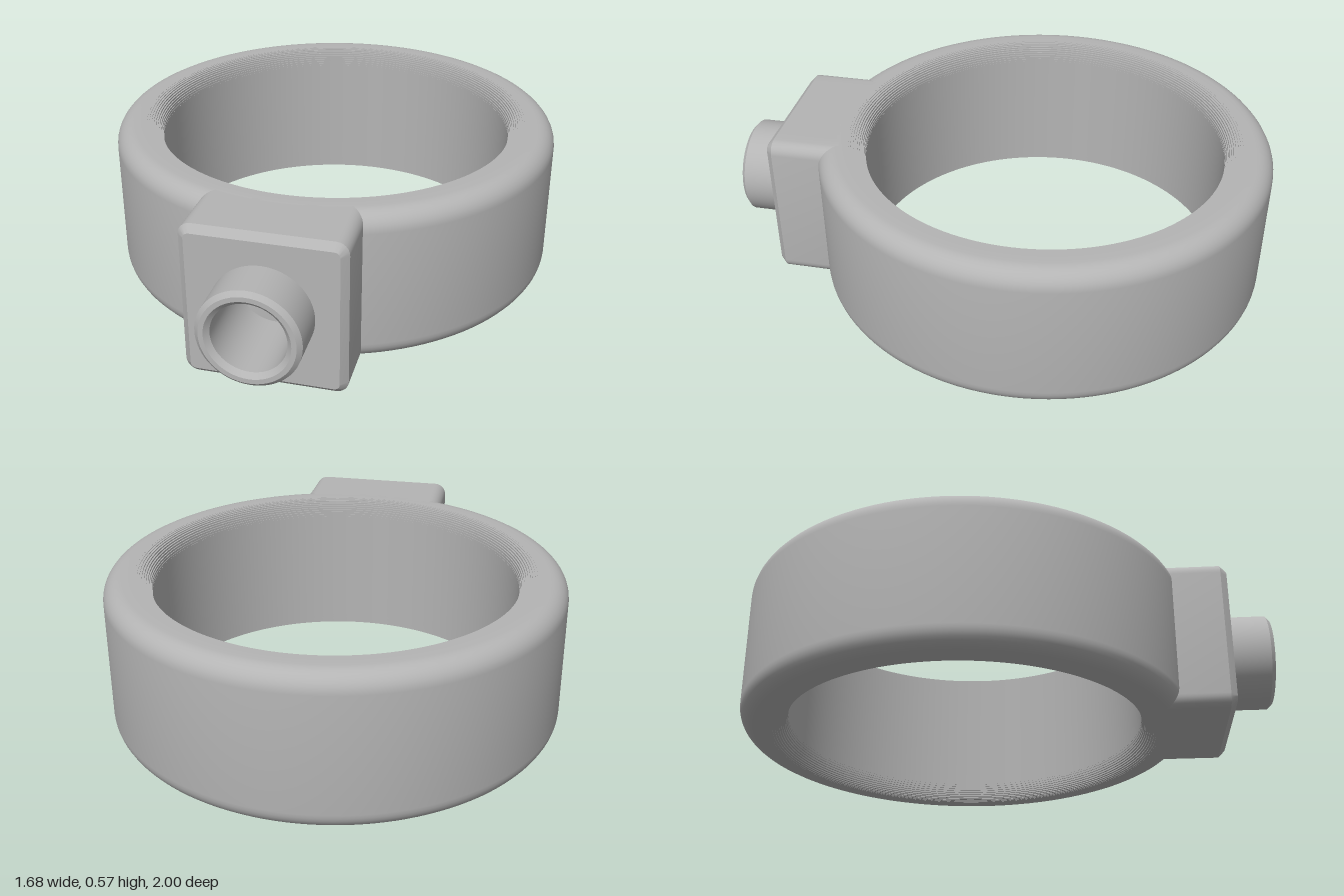
import * as THREE from 'three';
import { toCreasedNormals } from 'three/addons/utils/BufferGeometryUtils.js';

const H = 0.575;          // overall height
const RING_Z = -0.16;     // ring centre
const R_OUT = 0.84, R_IN = 0.665, FILLET = 0.07;

// Ring: smooth outer fillets, finely stepped inner fillets
function ringGeometry() {
  const top = [];
  for (let i = 0; i <= 8; i++) {
    const a = (i / 8) * Math.PI / 2;
    top.push([R_OUT - FILLET + FILLET * Math.cos(a), H - FILLET + FILLET * Math.sin(a)]);
  }
  const steps = 12;
  const at = (i) => {
    const a = Math.PI / 2 * (1 + i / steps);
    return [R_IN + FILLET + FILLET * Math.cos(a), H - FILLET + FILLET * Math.sin(a)];
  };
  top.push(at(0));
  for (let i = 0; i < steps; i++) {
    top.push([at(i + 1)[0], at(i)[1]], at(i + 1));
  }
  const bottom = top.map(([r, y]) => [r, H - y]).reverse();
  const profile = [...top, ...bottom, top[0]].map(([r, y]) => new THREE.Vector2(r, y));
  return toCreasedNormals(new THREE.LatheGeometry(profile, 128), 0.5);
}

// Block: rounded rectangle with a bevelled front, its back wrapped to the ring
function blockGeometry() {
  const w = 0.285, r = 0.045, bevel = 0.025, front = 0.835;
  const corners = [[w - r, r, -90], [w - r, H - r, 0], [r - w, H - r, 90], [r - w, r, 180]];
  const pts = [];
  corners.forEach(([cx, cy, start], k) => {
    for (let i = 0; i <= 6; i++) {
      const a = THREE.MathUtils.degToRad(start + i * 15);
      pts.push(new THREE.Vector2(cx + r * Math.cos(a), cy + r * Math.sin(a)));
    }
    // extra points along the top and bottom edges follow the curved back
    if (k % 2 === 1) {
      const s = Math.sign(cx);
      for (let i = 1; i < 10; i++) {
        pts.push(new THREE.Vector2(s * (w - r) * (1 - i / 5), k === 1 ? H : 0));
      }
    }
  });
  const shape = new THREE.Shape(pts);
  const hole = new THREE.Path();
  hole.absarc(0, H / 2, 0.14, 0, Math.PI * 2, true);
  shape.holes.push(hole);
  const geo = new THREE.ExtrudeGeometry(shape, {
    depth: 0.2, bevelEnabled: true, bevelThickness: bevel, bevelSize: bevel,
    bevelOffset: -bevel, bevelSegments: 1, curveSegments: 24,
  });
  geo.translate(0, 0, front - 0.2 - bevel);
  const p = geo.attributes.position;
  for (let i = 0; i < p.count; i++) {
    if (p.getZ(i) > 0.7) continue;
    const inset = p.getZ(i) < 0.625 ? 0.01 : 0;
    p.setZ(i, RING_Z + Math.sqrt(0.77 ** 2 - p.getX(i) ** 2) - inset);
  }
  return toCreasedNormals(geo, 0.5);
}

// Nozzle: short tube with chamfered rim and a blind bore
function nozzleGeometry() {
  const profile = [
    [0.178, 0.8], [0.178, 0.985], [0.162, 1], [0.145, 1],
    [0.128, 0.983], [0.128, 0.69], [0, 0.69],
  ].map(([r, z]) => new THREE.Vector2(r, z));
  const geo = new THREE.LatheGeometry(profile, 64);
  geo.rotateX(Math.PI / 2);
  geo.translate(0, H / 2, 0);
  return toCreasedNormals(geo, 0.5);
}

export function createModel() {
  const group = new THREE.Group();
  group.name = 'ringClampWithPort';
  const grey = new THREE.MeshStandardMaterial({ color: 0xb4b4b4 });
  grey.name = 'grey';

  const add = (name, geometry) => {
    const mesh = new THREE.Mesh(geometry, grey);
    mesh.name = name;
    group.add(mesh);
    return mesh;
  };
  add('ring', ringGeometry()).position.z = RING_Z;
  add('mountingBlock', blockGeometry());
  add('nozzle', nozzleGeometry());
  return group;
}
